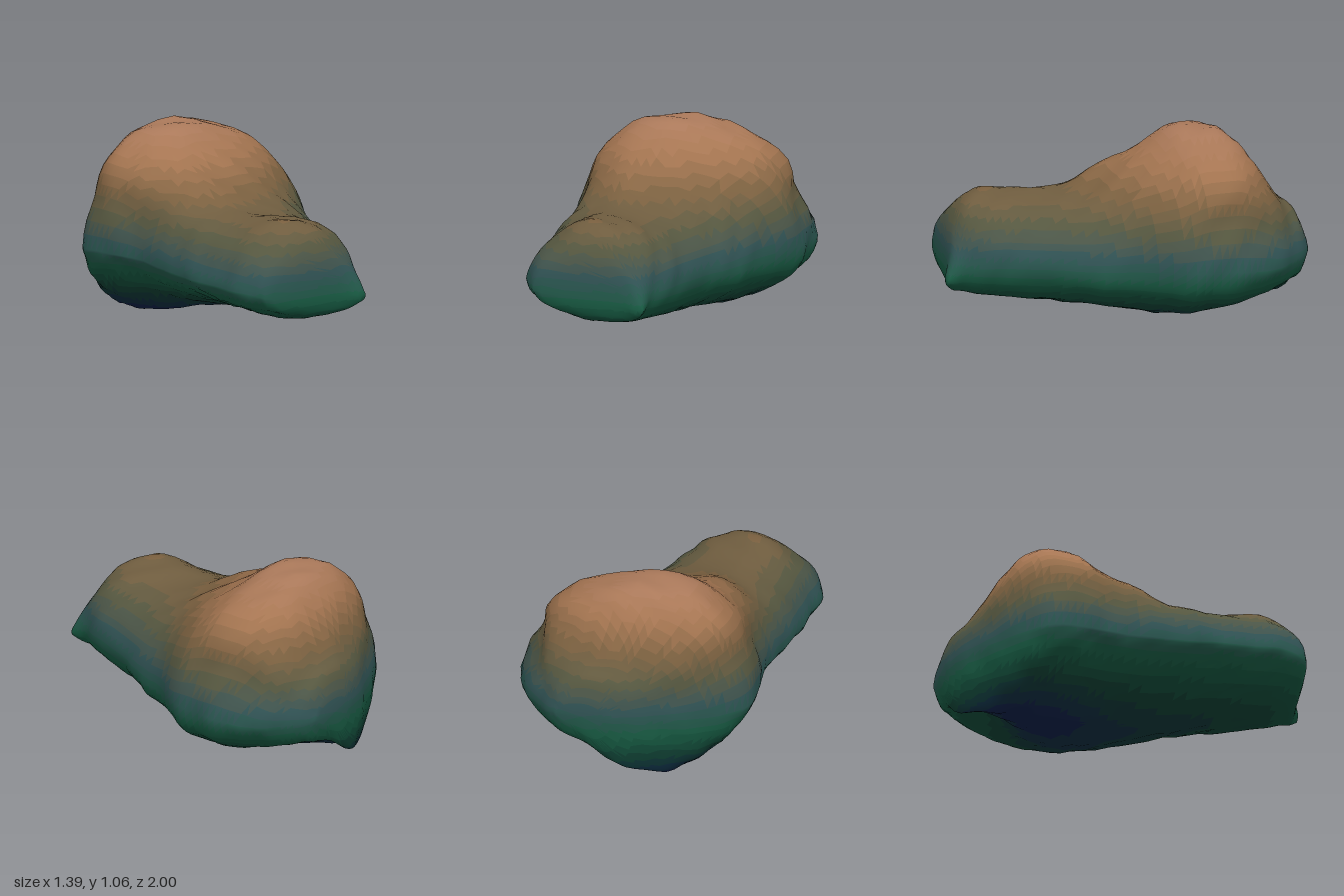
import * as THREE from 'three';

// Cross-sections from back to front:
// z, right x, left x, lowest y, highest y, height of widest point, x of crest, x of keel
const SECTIONS = [
  [-0.995, 0.08, 0.36, 0.34, 0.50, 0.42, 0.20, 0.18],
  [-0.95, -0.09, 0.43, 0.13, 0.63, 0.41, 0.16, 0.02],
  [-0.88, -0.23, 0.50, 0.06, 0.69, 0.40, 0.08, -0.12],
  [-0.80, -0.40, 0.58, 0.03, 0.81, 0.39, 0.02, -0.21],
  [-0.70, -0.54, 0.63, 0.02, 0.96, 0.39, -0.04, -0.25],
  [-0.60, -0.63, 0.67, 0.01, 1.045, 0.40, -0.08, -0.26],
  [-0.48, -0.66, 0.70, 0.01, 1.055, 0.41, -0.10, -0.25],
  [-0.35, -0.65, 0.68, 0.03, 1.04, 0.41, -0.10, -0.20],
  [-0.20, -0.62, 0.65, 0.06, 0.94, 0.41, -0.12, -0.12],
  [0.00, -0.62, 0.51, 0.09, 0.84, 0.40, -0.18, -0.08],
  [0.20, -0.65, 0.41, 0.12, 0.74, 0.39, -0.25, -0.08],
  [0.40, -0.68, 0.29, 0.14, 0.71, 0.39, -0.28, -0.12],
  [0.58, -0.68, 0.21, 0.16, 0.725, 0.39, -0.28, -0.15],
  [0.72, -0.69, 0.15, 0.17, 0.725, 0.39, -0.26, -0.16],
  [0.83, -0.65, 0.08, 0.19, 0.68, 0.38, -0.24, -0.16],
  [0.90, -0.57, 0.05, 0.21, 0.58, 0.36, -0.20, -0.14],
  [0.95, -0.16, 0.04, 0.24, 0.45, 0.33, -0.06, -0.06],
  [0.995, -0.03, 0.03, 0.28, 0.34, 0.31, 0.00, 0.00],
];
// Fullness of each quarter along z: z, upper left, upper right, lower right, lower left
const FULLNESS = [
  [-1.0, 2.0, 2.0, 1.8, 1.6],
  [-0.75, 2.0, 2.1, 1.6, 1.7],
  [-0.5, 2.1, 2.1, 1.3, 1.9],
  [-0.25, 2.1, 2.1, 1.3, 2.2],
  [0.2, 2.0, 1.95, 1.4, 2.2],
  [0.6, 1.9, 1.75, 1.6, 2.1],
  [1.0, 1.8, 1.75, 1.7, 2.0],
];
const SIDES = 56;
const STEPS = 3; // rings per section gap
const BANDS = 22; // colour steps from keel to crest
const TINTS = [0x0c1648, 0x0e3a30, 0x165c42, 0x2f5254, 0x56573f, 0x7c603f, 0xa47450, 0xac7a5c];

// Catmull-Rom blend of neighbouring sections
function sectionAt(t) {
  const i = Math.min(Math.floor(t), SECTIONS.length - 2), f = t - i;
  const at = (k) => SECTIONS[Math.max(0, Math.min(SECTIONS.length - 1, k))];
  return at(i).map((b, c) => {
    const a = at(i - 1)[c], d = at(i + 1)[c], e = at(i + 2)[c];
    return b + 0.5 * f * (d - a + f * (2 * a - 5 * b + 4 * d - e + f * (3 * (b - d) + e - a)));
  });
}

function fullnessAt(z, column) {
  const i = Math.max(1, FULLNESS.findIndex((row) => row[0] >= z));
  const a = FULLNESS[i - 1], b = FULLNESS[i];
  return THREE.MathUtils.mapLinear(z, a[0], b[0], a[column], b[column]);
}

const bell = (v, middle, width) => Math.exp(-(((v - middle) / width) ** 2));

// Shallow lumps over the surface
function lump(x, y, z) {
  return 0.008 * Math.sin(9 * x + 4 * y + 2) * Math.sin(8 * z - 5 * y)
    + 0.008 * Math.sin(19 * x - 7 * z + 1) * Math.sin(17 * y + 13 * z)
    + 0.005 * Math.sin(31 * z + 11 * x) * Math.sin(29 * x - 23 * y);
}

// Four superellipse quarters joined into one lopsided outline
function outlinePoint([z, x1, x2, y0, y1, yw, xt, xb], angle) {
  const c = Math.cos(angle), s = Math.sin(angle);
  const n = fullnessAt(z, s >= 0 ? (c >= 0 ? 1 : 2) : (c >= 0 ? 4 : 3));
  const mid = s >= 0 ? xt : xb;
  const u = Math.pow(Math.abs(c), 2 / n), v = Math.pow(Math.abs(s), 2 / n);
  let x = mid + u * (c >= 0 ? x2 - mid : x1 - mid);
  let y = yw + v * (s >= 0 ? y1 - yw : y0 - yw);
  // Shelf below the shoulders of the large end
  const steep = Math.asin(Math.abs(s));
  if (s > 0) x -= Math.sign(c) * (c > 0 ? 0.065 : 0.04) * bell(steep, 0.38, 0.2) * bell(z, -0.55, 0.3);
  // Hollow between the left flank and the keel bulge
  if (s < 0 && c > 0) {
    const hollow = bell(steep, 1.0, 0.3) * bell(z, -0.82, 0.24) * Math.min(1, (1 + z) * 10);
    x -= 0.06 * hollow;
    y += 0.12 * hollow;
  }
  const k = lump(x, y, z) * Math.min(1, (1 - Math.abs(z)) * 6);
  return [x + c * k, Math.max(0, y + s * k), z];
}

function bandColor(h) {
  const t = h * (TINTS.length - 1), i = Math.floor(t);
  return new THREE.Color(TINTS[i]).lerp(new THREE.Color(TINTS[i + 1]), t - i);
}

export function createModel() {
  const group = new THREE.Group();
  group.name = 'asteroid';

  // Skin lofted through all rings
  const points = [], faces = [];
  const rings = (SECTIONS.length - 1) * STEPS + 1;
  for (let r = 0; r < rings; r++) {
    const section = sectionAt(r / STEPS);
    for (let j = 0; j < SIDES; j++) points.push(...outlinePoint(section, (j / SIDES) * Math.PI * 2));
  }
  const back = rings * SIDES, front = back + 1, last = (rings - 1) * SIDES;
  points.push(0.21, 0.42, -1, 0, 0.31, 1);
  for (let j = 0; j < SIDES; j++) {
    const k = (j + 1) % SIDES;
    for (let r = 0; r < rings - 1; r++) {
      const a = r * SIDES + j, b = r * SIDES + k;
      faces.push([a, b, a + SIDES], [b, b + SIDES, a + SIDES]);
    }
    faces.push([back, k, j], [front, last + j, last + k]);
  }
  const skin = new THREE.BufferGeometry();
  skin.setAttribute('position', new THREE.Float32BufferAttribute(points, 3));
  skin.setIndex(faces.flat());
  skin.computeVertexNormals();

  // Share the skin between height bands so the colour climbs from keel to crest
  const bands = Array.from({ length: BANDS }, () => []);
  for (const f of faces) {
    const h = f.reduce((sum, i) => sum + points[i * 3 + 1], 0) / 3 / 1.07;
    bands[Math.min(BANDS - 1, Math.floor(h * BANDS))].push(...f);
  }
  bands.forEach((index, i) => {
    const geometry = new THREE.BufferGeometry();
    geometry.setAttribute('position', skin.getAttribute('position'));
    geometry.setAttribute('normal', skin.getAttribute('normal'));
    geometry.setIndex(index);
    const mesh = new THREE.Mesh(geometry, new THREE.MeshStandardMaterial({ color: bandColor((i + 0.5) / BANDS) }));
    mesh.name = `rockBand${i + 1}`;
    group.add(mesh);
  });
  return group;
}
